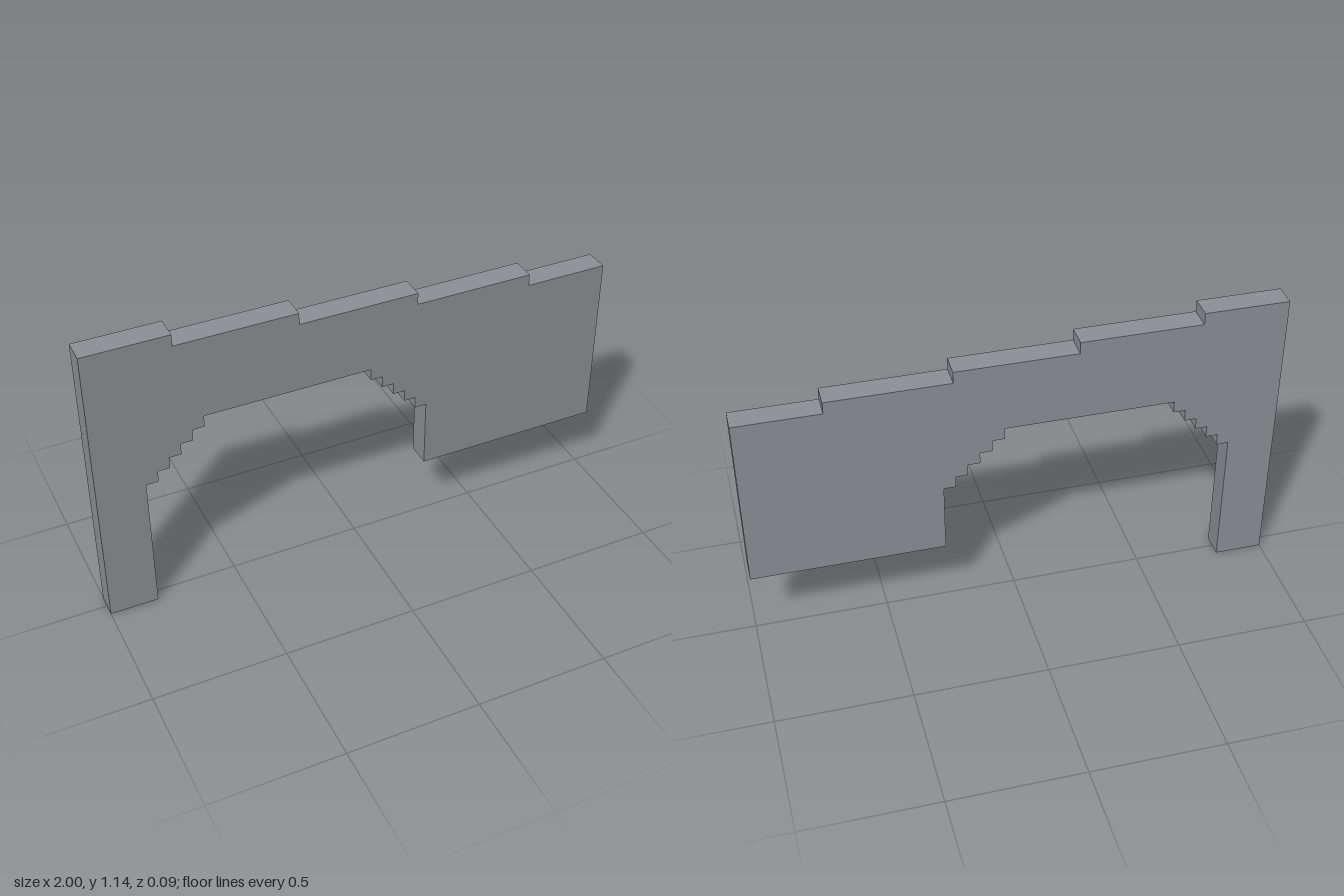
import * as THREE from 'three';

const U = 1 / 22; // grid unit: the wall is 44 units long

export function createModel() {
  const group = new THREE.Group();
  group.name = 'steppedArchWall';
  const stoneGrey = new THREE.MeshStandardMaterial({ color: 0x8c9095 });
  stoneGrey.name = 'stoneGrey';

  const outline = [];
  const add = (x, y) => outline.push(new THREE.Vector2((x - 22) * U, y * U));

  // left pier foot, then the corbelled left side of the opening
  add(0, 0);
  add(4, 0);
  for (let i = 0; i < 5; i++) {
    add(4 + i, 12 + i);
    add(5 + i, 12 + i);
  }
  add(9, 17);

  // flat crown, then the corbelled right side
  add(23, 17);
  for (let i = 0; i < 5; i++) {
    add(23 + i, 16 - i);
    add(24 + i, 16 - i);
  }

  // raised foot of the right block
  add(28, 6);
  add(44, 6);

  // stepped coping, rising towards the left pier
  add(44, 21);
  for (let i = 0; i < 4; i++) {
    add(37 - i * 10, 21 + i);
    add(37 - i * 10, 22 + i);
  }
  add(0, 25);

  const depth = 2 * U;
  const geometry = new THREE.ExtrudeGeometry(new THREE.Shape(outline), { depth, bevelEnabled: false });
  geometry.translate(0, 0, -depth / 2);
  const wall = new THREE.Mesh(geometry, stoneGrey);
  wall.name = 'archWall';
  group.add(wall);
  return group;
}
